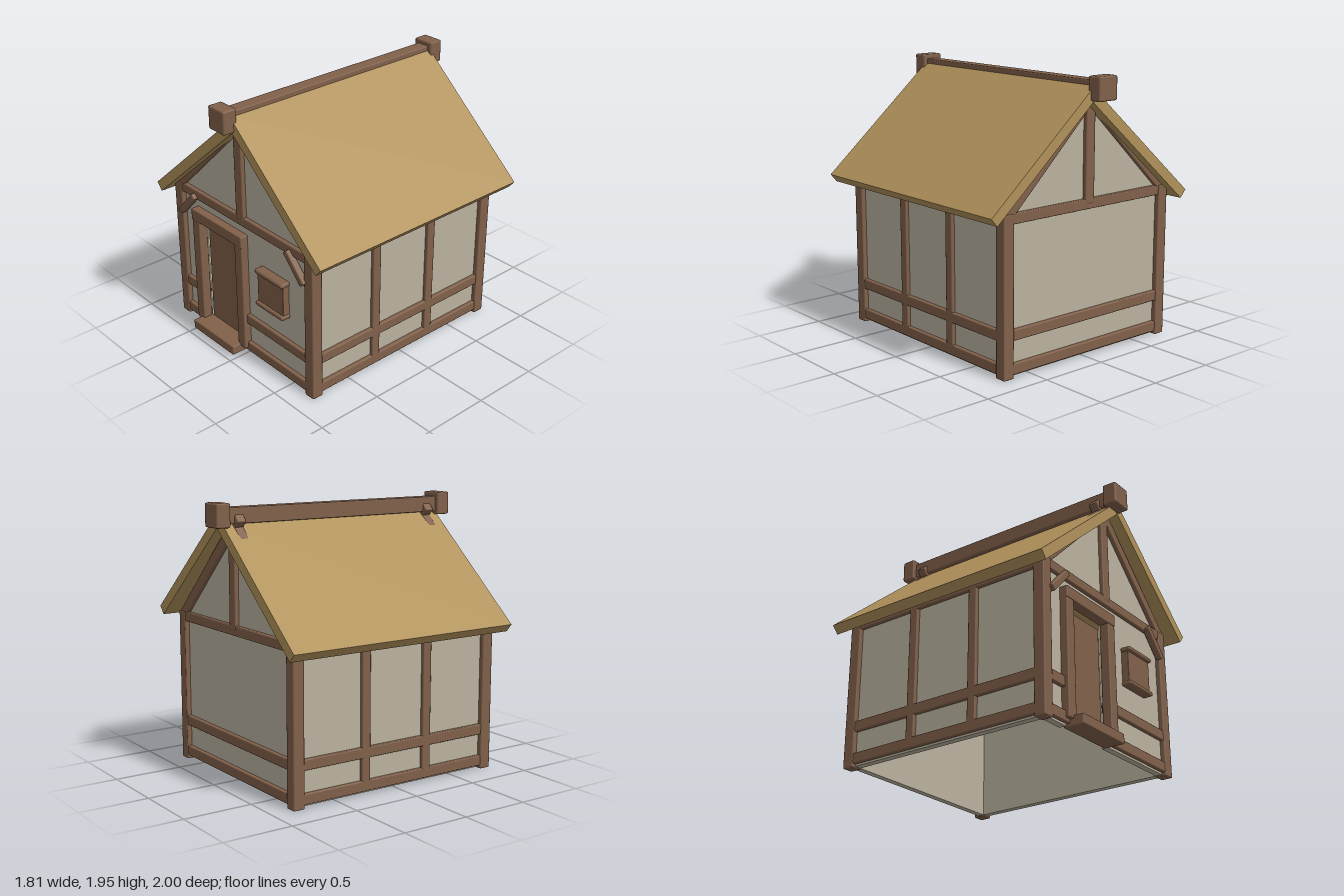
import * as THREE from 'three';
import { RoundedBoxGeometry } from 'three/addons/geometries/RoundedBoxGeometry.js';

const CX = -0.025; // centre line of the timber frame

export function createModel() {
  const house = new THREE.Group();
  house.name = 'house';
  const mat = (name, color) => {
    const m = new THREE.MeshStandardMaterial({ color });
    m.name = name;
    return m;
  };
  const wood = mat('timber brown', 0x80604a);
  const plaster = mat('plaster beige', 0xbab29f);
  const thatch = mat('thatch straw', 0xb0915a);

  const add = (name, geometry, material) => {
    const mesh = new THREE.Mesh(geometry, material);
    mesh.name = name;
    house.add(mesh);
    return mesh;
  };
  // softly bevelled timber given by its extents
  const timber = (name, x0, x1, y0, y1, z0, z1, r = 0.008) => {
    const mesh = add(name, new RoundedBoxGeometry(x1 - x0, y1 - y0, z1 - z0, 1, r), wood);
    mesh.position.set((x0 + x1) / 2, (y0 + y1) / 2, (z0 + z1) / 2);
    return mesh;
  };
  // timber laid between two points in the xy plane
  const slanted = (name, ax, ay, bx, by, width, depth, z) => {
    const length = Math.hypot(bx - ax, by - ay);
    const mesh = add(name, new RoundedBoxGeometry(length, width, depth, 1, 0.008), wood);
    mesh.position.set((ax + bx) / 2, (ay + by) / 2, z);
    mesh.rotation.z = Math.atan2(by - ay, bx - ax);
  };

  // gable walls, the front one notched for the doorway
  const gableWall = (name, z, doorway) => {
    const points = [[CX - 0.72, 0.01]];
    if (doorway) points.push([-0.52, 0.01], [-0.52, 0.93], [-0.03, 0.93], [-0.03, 0.01]);
    points.push([CX + 0.72, 0.01], [CX + 0.72, 1.09], [CX, 1.78], [CX - 0.72, 1.09]);
    const shape = new THREE.Shape(points.map(([x, y]) => new THREE.Vector2(x, y)));
    const geometry = new THREE.ExtrudeGeometry(shape, { depth: 0.05, bevelEnabled: false });
    add(name, geometry, plaster).position.z = z;
  };
  gableWall('frontWall', 0.765, true);
  gableWall('backWall', -0.815, false);

  // side walls with rails and studs, mirrored
  const rails = [[0.025, 0.1], [0.258, 0.333], [1.042, 1.113]];
  for (const s of [-1, 1]) {
    const side = s > 0 ? 'left' : 'right';
    const wall = add(side + 'Wall', new THREE.BoxGeometry(0.05, 1.08, 1.56), plaster);
    wall.position.set(CX + s * 0.705, 0.55, 0);
    const x = CX + s * 0.722;
    for (const [y0, y1] of rails) timber(side + 'Rail', x - 0.036, x + 0.036, y0, y1, -0.8, 0.8);
    for (const z of [-0.26, 0.26])
      timber(side + 'Stud', x - 0.035, x + 0.035, 0.03, 1.1, z - 0.034, z + 0.034);
  }

  // corner posts and gable frames
  for (const s of [-1, 1]) {
    const end = s > 0 ? 'front' : 'back';
    const z = s * 0.81;
    for (const t of [-1, 1]) {
      const x = CX + t * 0.721;
      timber(end + 'Post', x - 0.043, x + 0.043, 0, 1.114, s * 0.807 - 0.043, s * 0.807 + 0.043);
      slanted(end + 'Rafter', CX + t * 0.73, 1.089, CX - t * 0.07, 1.854, 0.072, 0.07, z);
    }
    timber(end + 'KingPost', CX - 0.04, CX + 0.04, 1.08, 1.78, z - 0.036, z + 0.036);
    rails.forEach(([y0, y1], i) => {
      // the lower front rails stop at the doorway
      const spans = s > 0 && i < 2 ? [[-0.72, -0.5], [-0.04, 0.68]] : [[-0.72, 0.67]];
      for (const [x0, x1] of spans) timber(end + 'Rail', x0, x1, y0, y1, z - 0.034, z + 0.034);
    });
  }

  // short corner braces on the front
  for (const t of [-1, 1])
    slanted('frontBrace', CX + t * 0.685, 0.888, CX + t * 0.511, 1.072, 0.048, 0.05, 0.85);

  // doorway
  timber('doorJamb', -0.56, -0.477, 0.05, 0.96, 0.8, 0.872);
  timber('doorJamb', -0.067, 0.015, 0.05, 0.96, 0.8, 0.872);
  timber('doorLintel', -0.562, 0.016, 0.885, 0.972, 0.797, 0.876);
  timber('doorStep', -0.513, -0.036, 0.003, 0.074, 0.79, 0.945);
  timber('door', -0.477, -0.067, 0.04, 0.856, 0.755, 0.79, 0.005);

  // shuttered window
  timber('windowShutter', 0.182, 0.456, 0.53, 0.79, 0.81, 0.868, 0.005);
  for (const y of [0.533, 0.788])
    timber('windowRail', 0.172, 0.466, y - 0.017, y + 0.017, 0.81, 0.89, 0.014);

  // roof slabs, the left one riding higher; given by eave corner of the upper face
  const pitch = Math.atan(0.859), length = 1.17, thick = 0.074;
  for (const [t, eaveX, eaveY] of [[1, 0.902, 1.13], [-1, -0.907, 1.067]]) {
    const roof = add(t > 0 ? 'leftRoof' : 'rightRoof', new THREE.BoxGeometry(length, thick, 1.84), thatch);
    const c = Math.cos(pitch), n = Math.sin(pitch);
    roof.position.set(
      eaveX - t * (c * length / 2 + n * thick / 2),
      eaveY + n * length / 2 - c * thick / 2, 0);
    roof.rotation.z = -t * pitch;
  }

  // ridge beam and its end blocks
  timber('ridgeBeam', -0.078, 0.022, 1.81, 1.922, -0.93, 0.93);
  for (const s of [-1, 1]) {
    const z = s * 0.946;
    timber('ridgeBlock', -0.11, 0.056, 1.788, 1.954, z - 0.054, z + 0.054, 0.012);
  }
  return house;
}
